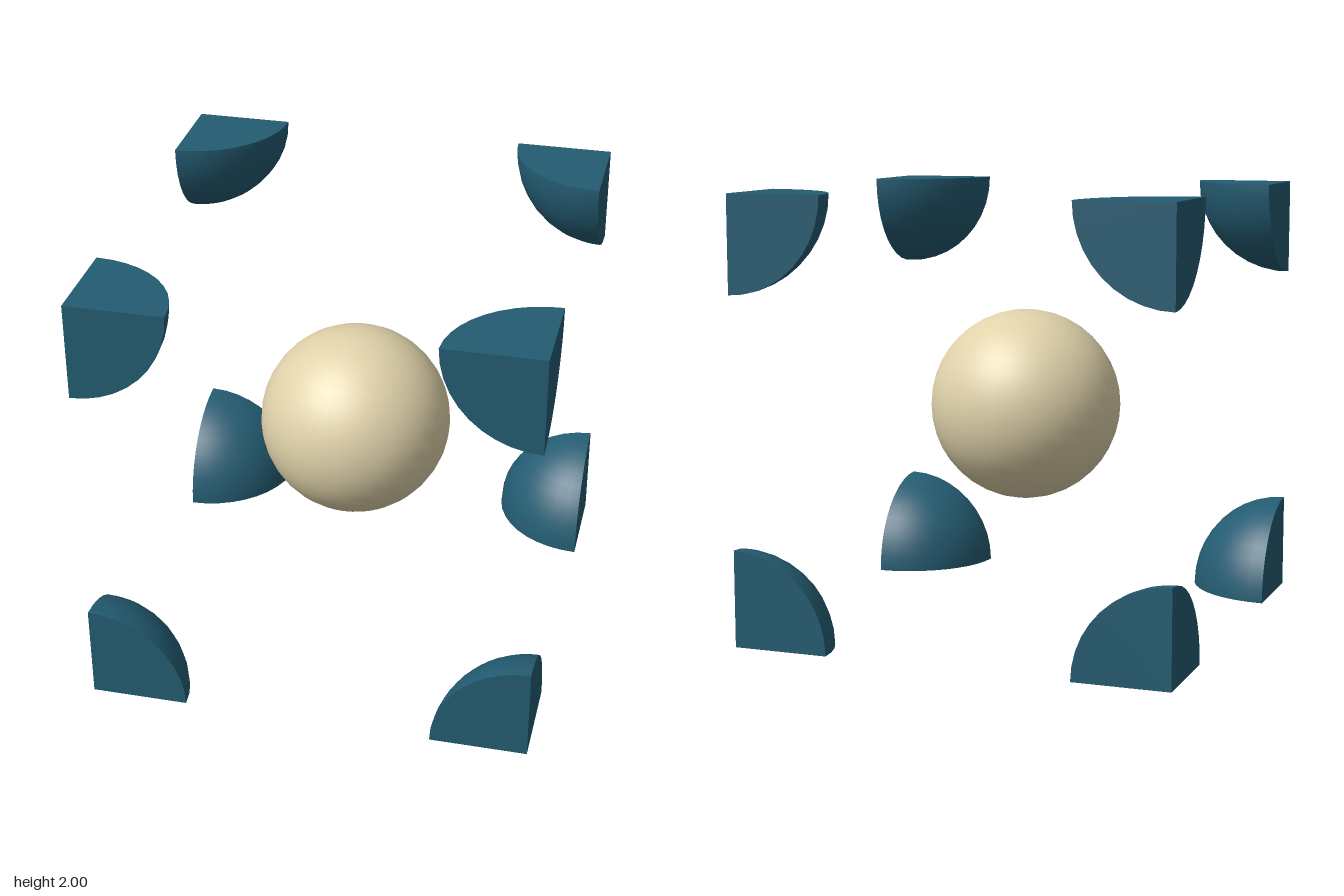
import * as THREE from 'three';
import { mergeGeometries } from 'three/addons/utils/BufferGeometryUtils.js';

const RADIUS = 0.438;
const QUARTER = Math.PI / 2;
const STEPS = 10;

// Solid eighth of a ball: curved skin towards +x +y +z, three flat cut faces
function octantGeometry() {
  const disc = (start) => new THREE.CircleGeometry(RADIUS, STEPS, start, QUARTER);
  return mergeGeometries([
    new THREE.SphereGeometry(RADIUS, STEPS, STEPS, QUARTER, QUARTER, 0, QUARTER),
    disc(QUARTER).rotateY(Math.PI), // faces -z
    disc(0).rotateX(QUARTER), // faces -y
    disc(0).rotateY(-QUARTER), // faces -x
  ]);
}

export function createModel() {
  const model = new THREE.Group();
  model.name = 'bodyCentredCubicCell';

  const sand = new THREE.MeshStandardMaterial({ color: 0xe0d2aa });
  sand.name = 'sand';
  const teal = new THREE.MeshStandardMaterial({ color: 0x245c72 });
  teal.name = 'teal';

  // Whole ball in the middle of the cube
  const centre = new THREE.Mesh(new THREE.SphereGeometry(RADIUS, STEPS * 4, STEPS * 2), sand);
  centre.name = 'centreBall';
  centre.position.y = 1;
  model.add(centre);

  // One eighth ball in each corner, turned about the cube's middle
  const geometry = octantGeometry().translate(-1, -1, -1);
  for (const level of ['bottom', 'top']) {
    for (let i = 0; i < 4; i++) {
      const corner = new THREE.Mesh(geometry, teal);
      corner.name = `${level}Corner${i + 1}`;
      corner.position.y = 1;
      corner.rotation.set(level === 'top' ? Math.PI : 0, i * QUARTER, 0, 'YXZ');
      model.add(corner);
    }
  }
  return model;
}
